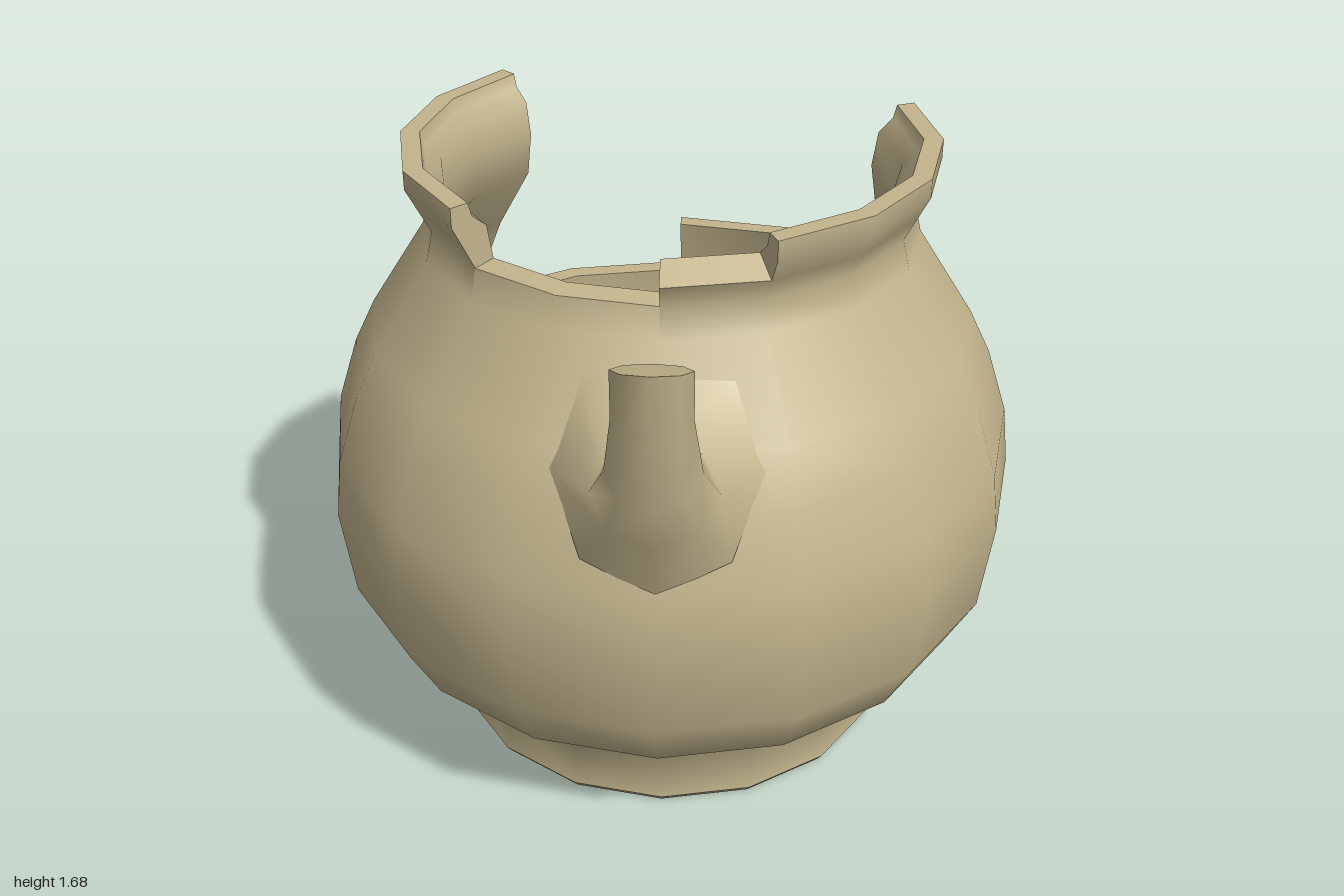
import * as THREE from 'three';

const STEP = Math.PI / 8; // 16-sided pot
const POT_Z = -0.06;

// Wall cross-section, bottom to top: [outer r, outer y, inner r, inner y]
const WALL = [
  [0.625, 0.02, 0, 0.17], [0.615, 0.15, 0.3, 0.18], [0.72, 0.25, 0.56, 0.23],
  [0.83, 0.34, 0.76, 0.38], [0.91, 0.49, 0.85, 0.51], [0.94, 0.74, 0.88, 0.74],
  [0.92, 0.9, 0.86, 0.9], [0.86, 1.08, 0.805, 1.08], [0.8, 1.2, 0.74, 1.2],
  [0.65, 1.43, 0.595, 1.4], [0.63, 1.51, 0.575, 1.52], [0.66, 1.57, 0.59, 1.61],
  [0.69, 1.63, 0.63, 1.645], [0.69, 1.68, 0.64, 1.68],
];
// Runs of sides broken off at the same height: [first side, side count, top row]
const RUNS = [[0, 1, 11], [1, 4, 13], [5, 1, 8], [6, 2, 7], [8, 2, 6], [10, 4, 13], [14, 2, 10]];

const outer = (i) => new THREE.Vector2(WALL[i][0], WALL[i][1]);
const inner = (i) => new THREE.Vector2(WALL[i][2], WALL[i][3]);
const range = (a, b) => Array.from({ length: b - a + 1 }, (_, i) => a + i);

// Spout: octagonal rings stretched between a front point and a back point in the zy plane
function spoutGeometry() {
  const rings = [ // front z, front y, back z, back y, half width
    [0.85, 0.9, 0.57, 1.42, 0.25], [0.92, 1.08, 0.74, 1.265, 0.15],
    [0.95, 1.2, 0.82, 1.33, 0.11], [0.985, 1.4, 0.86, 1.44, 0.09], [1.0, 1.565, 0.86, 1.52, 0.09],
  ];
  const N = 8, pos = [], index = [];
  rings.forEach(([fz, fy, bz, by, w]) => {
    for (let j = 0; j < N; j++) {
      const a = (j / N) * Math.PI * 2, t = (1 - Math.cos(a)) / 2;
      pos.push(w * Math.sin(a), fy + (by - fy) * t, fz + (bz - fz) * t);
    }
  });
  for (let i = 0; i < rings.length - 1; i++) {
    for (let j = 0; j < N; j++) {
      const a = i * N + j, b = i * N + ((j + 1) % N);
      index.push(a, b, b + N, a, b + N, a + N);
    }
  }
  // Flat closed tip on its own vertices, so its edge stays sharp
  const tip = pos.length / 3;
  pos.push(...pos.slice(-N * 3));
  for (let j = 1; j < N - 1; j++) index.push(tip, tip + j, tip + j + 1);
  const geo = new THREE.BufferGeometry();
  geo.setAttribute('position', new THREE.Float32BufferAttribute(pos, 3));
  geo.setIndex(index);
  geo.computeVertexNormals();
  return geo;
}

export function createModel() {
  const group = new THREE.Group();
  const clay = new THREE.MeshStandardMaterial({ color: 0xc2b48c });
  const clayThin = new THREE.MeshStandardMaterial({ color: 0xc2b48c, side: THREE.DoubleSide });
  const pot = new THREE.Group();
  pot.name = 'brokenPot';
  pot.position.z = POT_Z;
  group.add(pot);

  const add = (name, geo, mat = clay) => {
    const mesh = new THREE.Mesh(geo, mat);
    mesh.name = name;
    pot.add(mesh);
    return mesh;
  };

  // Wall sections with their outer skin, inner skin and broken top edge
  RUNS.forEach(([first, count, top], k) => {
    const lathe = (pts) => new THREE.LatheGeometry(pts, count, first * STEP, count * STEP);
    add('outerWall', lathe(range(0, top).map(outer)));
    add('innerWall', lathe(range(0, top).reverse().map(inner)));
    add('topEdge', lathe([outer(top), inner(top)]));

    // Upright broken face where this section meets the one before it
    const before = RUNS[(k + RUNS.length - 1) % RUNS.length][2];
    const rows = range(Math.min(top, before), Math.max(top, before));
    const face = new THREE.Shape([...rows.map(outer), ...rows.reverse().map(inner)]);
    add('brokenFace', new THREE.ShapeGeometry(face), clayThin).rotation.y = first * STEP - Math.PI / 2;
  });

  // Foot ring and slightly sunken base
  const ring = (pts) => new THREE.LatheGeometry(pts.map((p) => new THREE.Vector2(...p)), 16);
  add('base', ring([[0, 0.02], [0.575, 0.02]]));
  add('footRing', ring([[0.575, 0.02], [0.585, 0], [0.61, 0], [0.625, 0.02]]));

  const spout = new THREE.Mesh(spoutGeometry(), clay);
  spout.name = 'spout';
  group.add(spout);
  return group;
}
